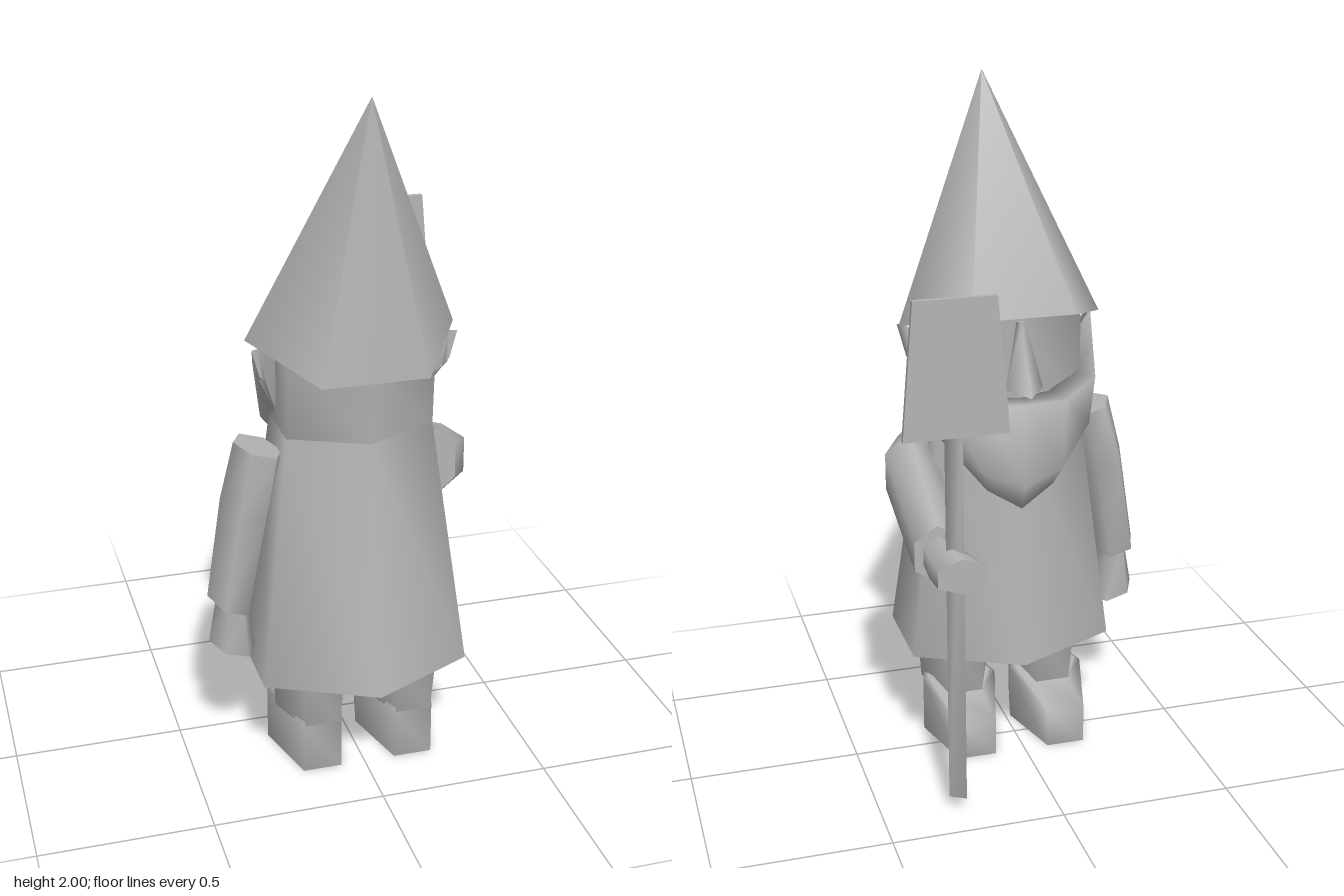
import * as THREE from 'three';

const V = (x, y, z) => new THREE.Vector3(x, y, z);
const X0 = 0.007; // shared centre line

// Six-sided ring (or other count) spanned by two half-axes
function ring(c, u, v, n = 6, phase = 0) {
  return Array.from({ length: n }, (_, i) => {
    const a = phase + (i / n) * Math.PI * 2;
    return c.clone().addScaledVector(u, Math.cos(a)).addScaledVector(v, Math.sin(a));
  });
}
const flatRing = (x, y, z, rx, rz, n = 6, phase = 0) =>
  ring(V(x, y, z), V(rx, 0, 0), V(0, 0, rz), n, phase);

// Smooth skin through the rings, with sharp end caps
function loft(rings) {
  const n = rings[0].length, pts = rings.flat(), idx = [];
  for (let r = 0; r < rings.length - 1; r++) {
    for (let i = 0; i < n; i++) {
      const a = r * n + i, b = r * n + (i + 1) % n;
      idx.push(a, b, b + n, a, b + n, a + n);
    }
  }
  const first = pts.length;
  pts.push(...rings[0], ...rings[rings.length - 1]);
  for (let i = 1; i < n - 1; i++) {
    idx.push(first, first + i + 1, first + i);
    idx.push(first + n, first + n + i, first + n + i + 1);
  }
  // Turn the skin outward if the rings ran the other way
  let volume = 0;
  const cross = V(0, 0, 0);
  for (let i = 0; i < idx.length; i += 3) {
    volume += pts[idx[i]].dot(cross.crossVectors(pts[idx[i + 1]], pts[idx[i + 2]]));
  }
  if (volume < 0) idx.reverse();
  const g = new THREE.BufferGeometry().setFromPoints(pts);
  g.setIndex(idx);
  g.computeVertexNormals();
  return g;
}

export function createModel() {
  const model = new THREE.Group();
  model.name = 'gardenGnome';
  const stone = new THREE.MeshStandardMaterial({ color: 0xb4b4b4, side: THREE.DoubleSide });
  stone.name = 'grey stone';
  const add = (name, geometry) => {
    const m = new THREE.Mesh(geometry, stone);
    m.name = name;
    model.add(m);
    return m;
  };
  const point = Math.PI / 6;
  const brimY = z => 1.24 + (0.375 - z) * 0.26;

  // Flared coat and the head above it
  add('coat', loft([
    flatRing(X0, 0.3, 0.153, 0.355, 0.295, 6, point),
    flatRing(X0, 1.04, 0.125, 0.248, 0.198, 6, point),
  ]));
  const headTop = flatRing(X0, 0, 0.13, 0.248, 0.215, 6, point);
  headTop.forEach(p => { p.y = brimY(p.z) + 0.01; });
  add('head', loft([flatRing(X0, 1.04, 0.125, 0.248, 0.198, 6, point), headTop]));

  // Tilted pointed hat
  const brim = flatRing(X0, 0, 0.123, 0.305, 0.292);
  brim.forEach(p => { p.y = brimY(p.z); });
  add('hat', loft([brim, ring(V(X0, 2, 0.31), V(0.001, 0, 0), V(0, 0, 0.001))]));

  // Nose widening downwards
  add('nose', loft([
    ring(V(X0, 1.35, -0.085), V(0.012, 0, 0), V(0, 0, 0.012), 4),
    ring(V(X0, 1.165, -0.125), V(0.055, 0, 0), V(0, 0.01, 0.068), 4),
  ]));

  // Beard wrapping from ear to ear: x, z, top, bottom, inner x, inner z
  const half = [
    [0.298, 0.18, 1.295, 1.19, 0.275, 0.17],
    [0.272, 0.075, 1.215, 1.06, 0.195, 0.09],
    [0.245, -0.03, 1.15, 0.96, 0.18, 0.02],
    [0.125, -0.13, 1.12, 0.85, 0.1, -0.035],
  ];
  const section = ([x, z, top, bottom, ix, iz], s) => [
    V(X0 + s * ix, top, iz),
    V(X0 + s * x, top, z),
    V(X0 + s * x * 0.93, bottom + (top - bottom) * 0.25, z),
    V(X0 + s * (x * 0.4 + ix * 0.5), bottom, (z + iz) / 2),
    V(X0 + s * ix, bottom + 0.01, iz),
  ];
  add('beard', loft([
    ...half.map(p => section(p, 1)),
    section([0, -0.145, 1.12, 0.79, 0, -0.06], 1),
    ...half.slice().reverse().map(p => section(p, -1)),
  ]));

  // Legs and boots
  for (const [side, x] of [['left', 0.15], ['right', -0.13]]) {
    add(side + 'Leg', loft([
      flatRing(x, 0.15, 0.167, 0.105, 0.17),
      flatRing(x, 0.34, 0.167, 0.118, 0.2),
    ]));
    const sole = flatRing(x, 0, 0.1, 0.115, 0.248);
    const upper = sole.map(p => V(p.x, Math.min(0.165, 0.115 + (p.z + 0.115) * 0.35), p.z));
    const instep = upper.map(p => V(x + (p.x - x) * 0.85, p.z < 0 ? 0.15 : 0.175, Math.max(p.z, 0.02)));
    add(side + 'Boot', loft([sole, upper, instep]));
  }

  // Left arm reaching forward, with its gripping hand
  const foreArm = (x, y, z, rx, ry) => ring(V(x, y, z), V(rx, 0, 0), V(0, ry, 0), 6, point);
  add('leftSleeve', loft([
    foreArm(0.25, 0.893, 0.18, 0.07, 0.108),
    foreArm(0.293, 0.87, 0.1, 0.085, 0.108),
    foreArm(0.304, 0.755, -0.278, 0.077, 0.086),
  ]));
  add('leftHand', loft([
    foreArm(0.303, 0.755, -0.27, 0.048, 0.055),
    foreArm(0.295, 0.755, -0.36, 0.062, 0.062),
    foreArm(0.275, 0.752, -0.438, 0.08, 0.052),
  ]));

  // Right arm hanging at the side
  const hangArm = (x, y, z, rx, rz) => ring(V(x, y, z), V(rx, 0.3 * rx, 0).multiply(V(1, -1, 1)), V(0, 0, rz));
  add('rightSleeve', loft([
    hangArm(-0.275, 1.0, 0.16, 0.07, 0.09),
    hangArm(-0.315, 0.83, 0.16, 0.072, 0.122),
    hangArm(-0.367, 0.53, 0.165, 0.066, 0.11),
  ]));
  add('rightHand', loft([
    hangArm(-0.36, 0.54, 0.16, 0.044, 0.07),
    hangArm(-0.362, 0.375, 0.155, 0.068, 0.085),
  ]));

  // Spade: three-sided pole and a tapered blade
  add('spadePole', loft([0.04, 1.28].map(y => flatRing(0.29, y, -0.375, 0.03, 0.029, 3, Math.PI))
    .map(r => r.map(p => V(0.565 - p.x, p.y, p.z)))));
  const blade = z => [V(0.135, 1.145, z), V(0.428, 1.145, z), V(0.395, 1.525, z), V(0.168, 1.525, z)];
  const bladeGeometry = loft([blade(-0.42), blade(-0.404)]).toNonIndexed();
  bladeGeometry.computeVertexNormals();
  add('spadeBlade', bladeGeometry);

  return model;
}
